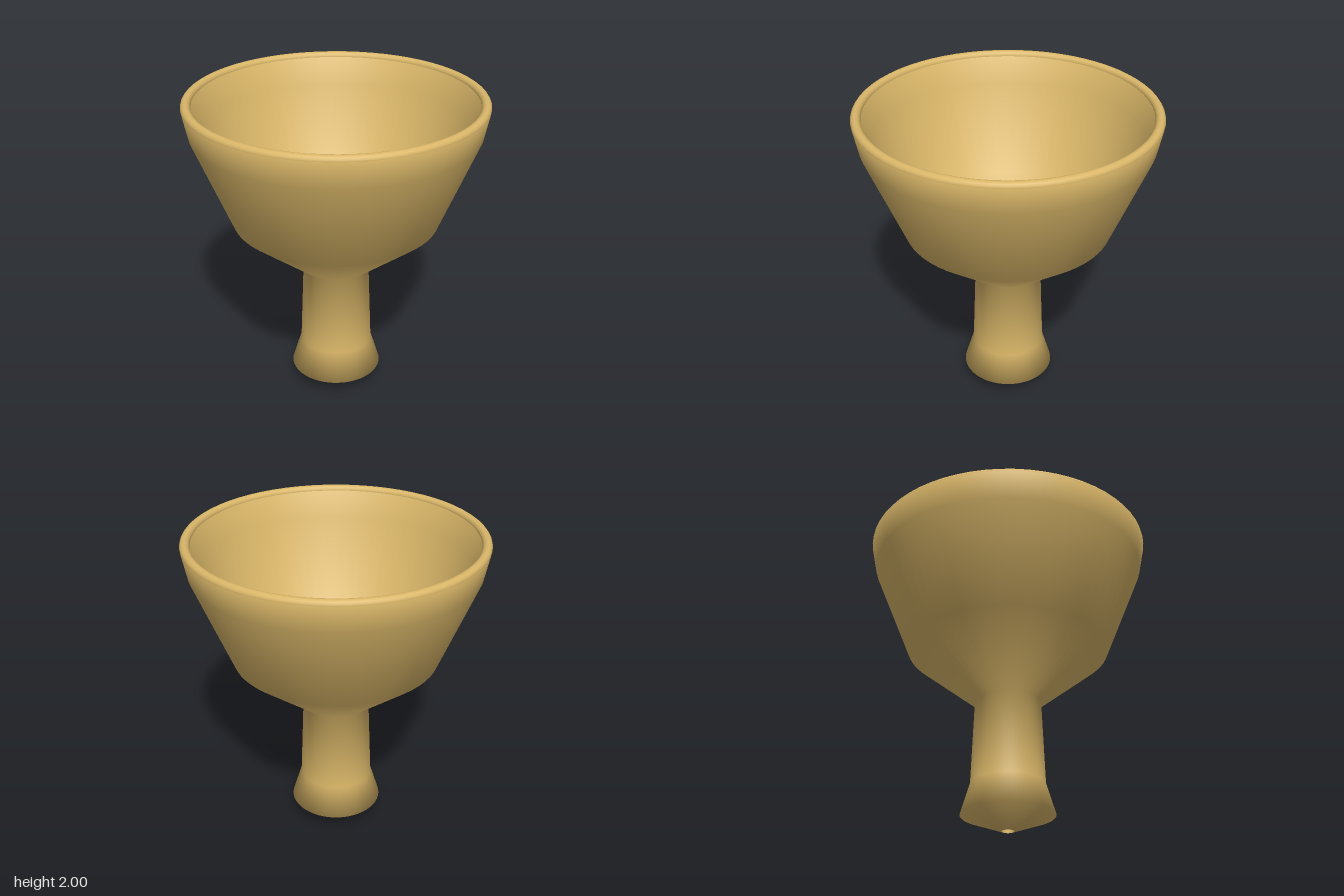
import * as THREE from 'three';

export function createModel() {
  const group = new THREE.Group();
  const material = new THREE.MeshStandardMaterial({ color: 0xd9b668, roughness: 0.7 });

  // hollow cup and stem: up the outside, over the lip, down the inside to the drain hole
  const profile = [
    [0.04, 0], [0.295, 0.1], [0.235, 0.3], [0.213, 0.84], [0.655, 1.2], [0.895, 1.8], [0.928, 1.97],
    [0.868, 1.97], [0.835, 1.8], [0.6, 1.235], [0.155, 0.87], [0.175, 0.3], [0.225, 0.13], [0.04, 0.05], [0.04, 0],
  ].map(([r, y]) => new THREE.Vector2(r, y));
  const cup = new THREE.Mesh(new THREE.LatheGeometry(profile, 64), material);
  cup.name = 'cupAndStem';
  group.add(cup);

  // rounded rim
  const rimGeometry = new THREE.TorusGeometry(0.898, 0.03, 16, 64).rotateX(Math.PI / 2);
  const rim = new THREE.Mesh(rimGeometry, material);
  rim.name = 'rim';
  rim.position.y = 1.97;
  group.add(rim);

  return group;
}
